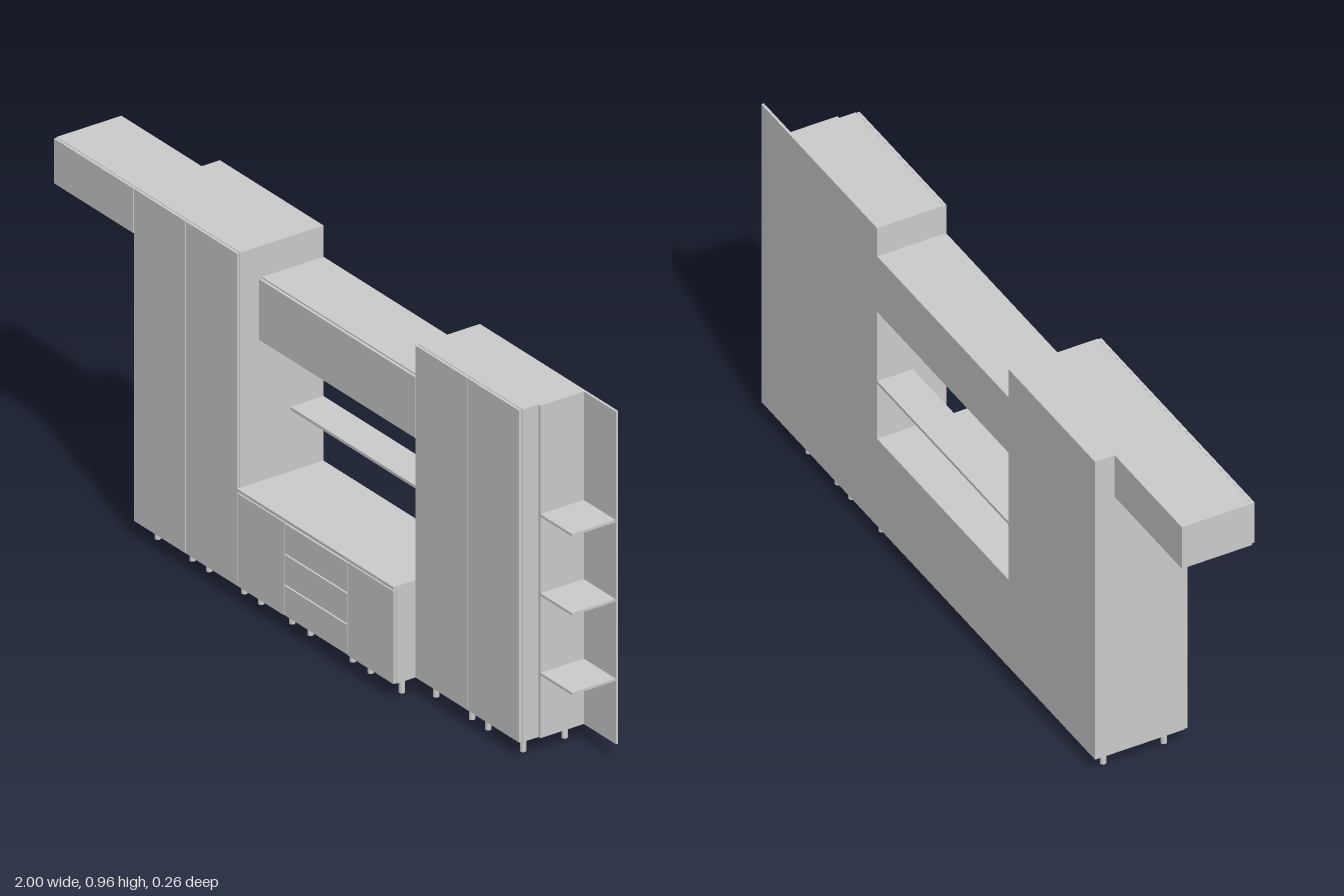
import * as THREE from 'three';

const BACK = -0.13, DEEP = 0.13, SHALLOW = 0.065;
const DOOR = 0.008, GAP = 0.0015, BASE = 0.048, TOP = 0.96;

export function createModel() {
  const model = new THREE.Group();
  const material = new THREE.MeshStandardMaterial({ color: 0xcccccc });

  // Box given by its limits on each axis
  function box(name, x0, x1, y0, y1, z0, z1) {
    const mesh = new THREE.Mesh(new THREE.BoxGeometry(x1 - x0, y1 - y0, z1 - z0), material);
    mesh.position.set((x0 + x1) / 2, (y0 + y1) / 2, (z0 + z1) / 2);
    mesh.name = name;
    model.add(mesh);
  }

  // Front panel with a fine gap all round
  function front(name, x0, x1, y0, y1, z) {
    box(name, x0 + GAP, x1 - GAP, y0 + GAP / 2, y1 - GAP / 2, z - DOOR, z);
  }

  // Carcass reaching to just behind its fronts
  function carcass(name, x0, x1, y0, y1, z, back = BACK) {
    box(name, x0, x1, y0, y1, back, z - DOOR - 0.001);
  }

  // Deep wardrobe with two doors
  for (const [x0, x1] of [[-0.665, -0.448], [-0.448, -0.232]]) {
    carcass('wardrobeBody', x0, x1, BASE, TOP, DEEP);
    front('wardrobeDoor', x0, x1, BASE, TOP, DEEP);
  }

  // Overhead cabinet reaching out to the side
  carcass('overheadBody', -1, -0.665, 0.833, TOP, DEEP, -0.075);
  front('overheadDoor', -1, -0.665, 0.836, TOP, DEEP);

  // Shallow tall cabinet with two doors
  carcass('tallCabinetBody', 0.422, 0.858, BASE, TOP, SHALLOW);
  front('tallCabinetDoor', 0.422, 0.64, BASE, TOP, SHALLOW);
  front('tallCabinetDoor', 0.64, 0.858, BASE, TOP, SHALLOW);

  // Bridge cabinet and open shelf
  carcass('bridgeBody', -0.232, 0.422, 0.704, 0.874, SHALLOW);
  front('bridgeDoor', -0.232, 0.422, 0.704, 0.872, SHALLOW);
  box('middleShelf', -0.232, 0.422, 0.484, 0.492, BACK, -0.03);

  // Low cabinet: worktop, doors on both sides of three drawers
  const d0 = -0.035, d1 = 0.228, lowTop = 0.304;
  carcass('lowCabinetBody', -0.232, d0, BASE, 0.307, DEEP);
  carcass('lowCabinetBody', d0, 0.422, BASE, 0.307, DEEP);
  box('worktop', -0.232, 0.422, 0.307, 0.315, BACK, DEEP);
  front('lowCabinetDoor', -0.232, d0, BASE, lowTop, DEEP);
  front('lowCabinetDoor', d1, 0.422, BASE, lowTop, DEEP);
  const step = (lowTop - BASE) / 3;
  for (let i = 0; i < 3; i++) {
    front('drawerFront', d0, d1, BASE + i * step + GAP, BASE + (i + 1) * step - GAP, DEEP);
  }

  // Open end shelves: side panel, back panel and three boards
  box('endSidePanel', 0.858, 0.866, BASE, TOP, BACK, 0.008);
  box('endBackPanel', 0.866, 1, BASE, TOP, BACK, -0.123);
  for (const y of [0.224, 0.442, 0.659]) {
    box('endShelf', 0.866, 0.998, y - 0.0035, y + 0.0035, -0.123, 0.008);
  }

  // Feet in a front and a back row
  const footGeometry = new THREE.CylinderGeometry(0.008, 0.008, 0.05, 16);
  function feet(xs, zs) {
    for (const x of xs) for (const z of zs) {
      const foot = new THREE.Mesh(footGeometry, material);
      foot.position.set(x, 0.025, z);
      foot.name = 'foot';
      model.add(foot);
    }
  }
  feet([-0.63, -0.485, -0.415, -0.268, -0.198, -0.068, 0.008, 0.185, 0.26, 0.39], [0.082, -0.088]);
  feet([0.457, 0.607, 0.675, 0.82], [0.027, -0.098]);

  return model;
}
